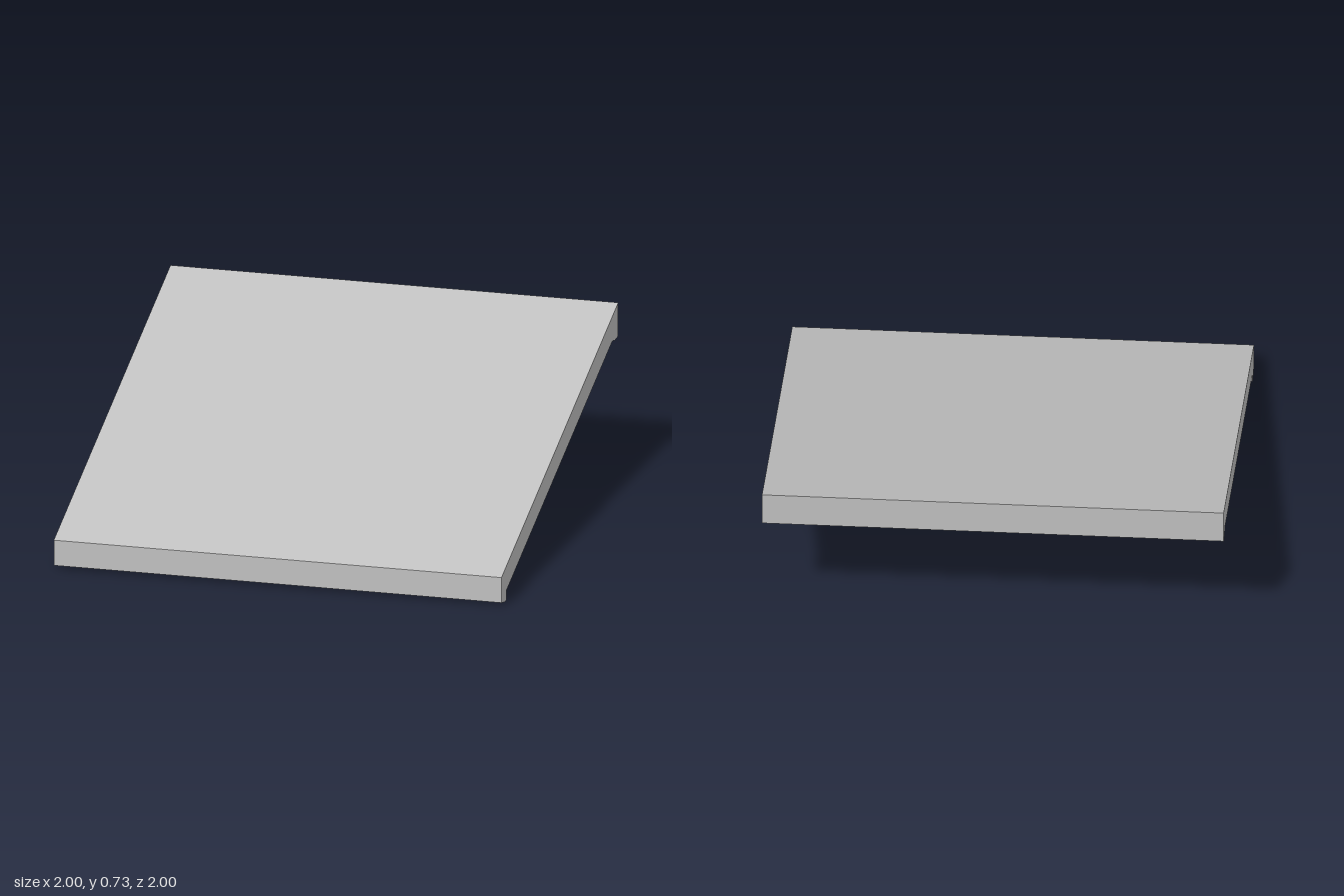
import * as THREE from 'three';

// Extrudes a side profile of [z, y] points across x, centred on x
function extrudeAcross(points, width, x, material, name) {
  const shape = new THREE.Shape(points.map(([z, y]) => new THREE.Vector2(-z, y)));
  const geometry = new THREE.ExtrudeGeometry(shape, { depth: width, bevelEnabled: false });
  geometry.translate(0, 0, -width / 2);
  geometry.rotateY(Math.PI / 2);
  const mesh = new THREE.Mesh(geometry, material);
  mesh.position.x = x;
  mesh.name = name;
  return mesh;
}

export function createModel() {
  const group = new THREE.Group();
  group.name = 'slopedRoofPanel';
  const grey = new THREE.MeshStandardMaterial({ color: 0xc0c0c0 });
  grey.name = 'plainGrey';

  // Sloped slab with a downturned lip at the front and back edges
  const slab = [
    [1, 0.015], [0.94, 0], [0.91, 0], [0.91, 0.045],
    [-0.9, 0.588], [-0.94, 0.577], [-1, 0.577],
    [-1, 0.73], [1, 0.13],
  ];
  group.add(extrudeAcross(slab, 2, 0, grey, 'roofSlab'));

  // Two shallow ribs under the slab, running between the lips
  const rib = [[0.92, 0.018], [-0.94, 0.576], [-0.94, 0.62], [0.92, 0.062]];
  for (const [side, name] of [[1, 'leftRib'], [-1, 'rightRib']]) {
    group.add(extrudeAcross(rib, 0.085, side * 0.645, grey, name));
  }
  return group;
}
